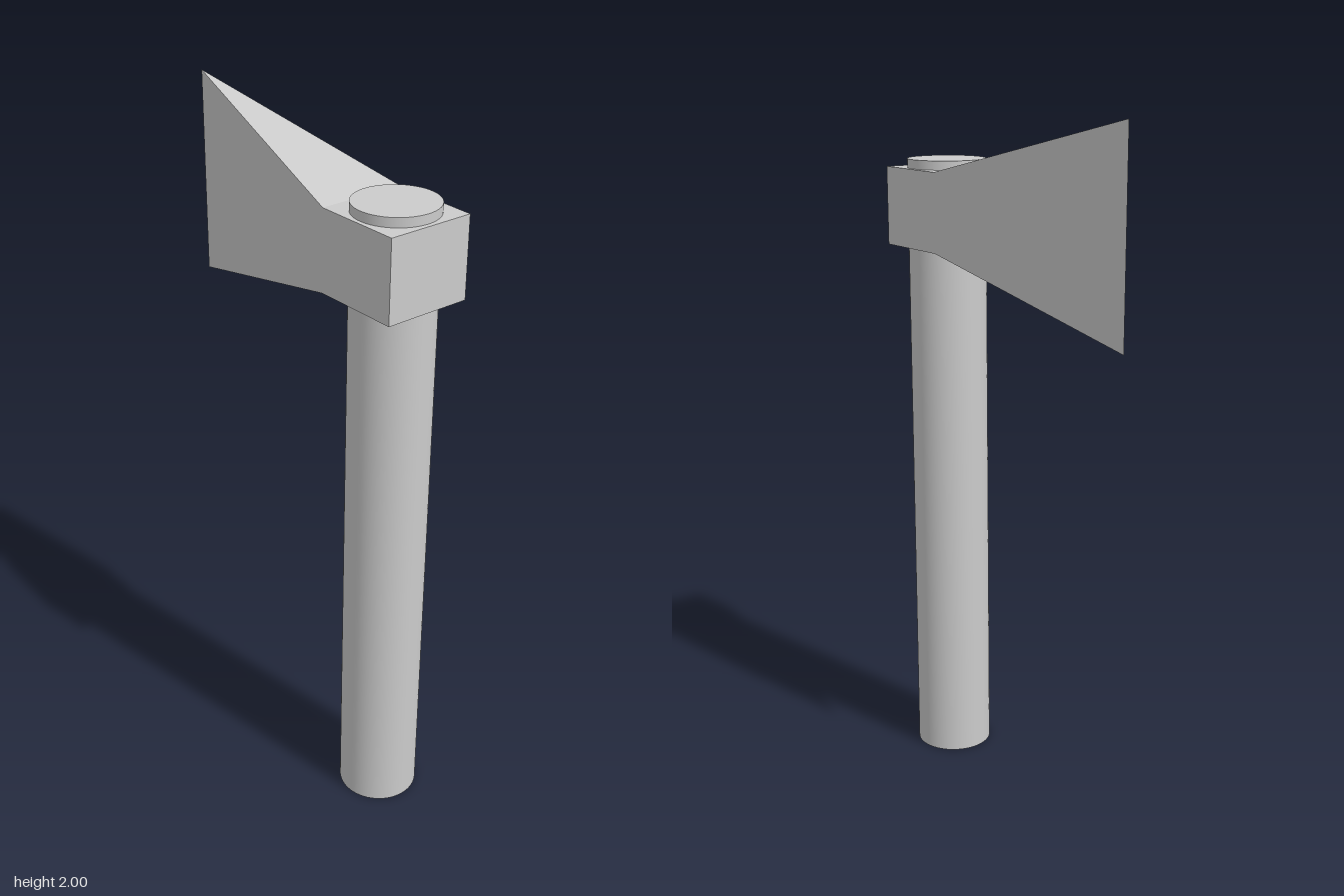
import * as THREE from 'three';

const HALF_W = 0.127, LOW = 1.602, HIGH = 1.83; // socket section
const SOCKET_BACK = 0.218, SOCKET_FRONT = 0.473;
const EDGE_Z = -0.473, EDGE_LOW = 1.412, EDGE_HIGH = 2; // cutting edge

export function createModel() {
  const group = new THREE.Group();
  const smooth = new THREE.MeshStandardMaterial({ color: 0xcccccc });
  const flat = new THREE.MeshStandardMaterial({ color: 0xcccccc, flatShading: true });

  const add = (name, geometry, material) => {
    const mesh = new THREE.Mesh(geometry, material);
    mesh.name = name;
    group.add(mesh);
    return mesh;
  };

  // Round handle, poking out slightly above the head
  const handleHeight = 1.856;
  add('handle', new THREE.CylinderGeometry(0.115, 0.115, handleHeight, 64), smooth)
    .position.set(0, handleHeight / 2, 0.345);

  // Block that wraps the handle
  add('headSocket', new THREE.BoxGeometry(2 * HALF_W, HIGH - LOW, SOCKET_FRONT - SOCKET_BACK), flat)
    .position.set(0, (LOW + HIGH) / 2, (SOCKET_BACK + SOCKET_FRONT) / 2);

  // Blade: a box narrowed to a flared vertical edge at the back
  const blade = new THREE.BoxGeometry(1, 1, 1);
  const p = blade.attributes.position;
  for (let i = 0; i < p.count; i++) {
    const up = p.getY(i) > 0;
    if (p.getZ(i) > 0) p.setXYZ(i, Math.sign(p.getX(i)) * HALF_W, up ? HIGH : LOW, SOCKET_BACK);
    else p.setXYZ(i, 0, up ? EDGE_HIGH : EDGE_LOW, EDGE_Z);
  }
  // Keep the sides, top and bottom; the ends are hidden or collapsed
  blade.setIndex(Array.from(blade.index.array).slice(0, 24));
  blade.clearGroups();
  blade.computeVertexNormals();
  add('blade', blade, flat);

  return group;
}
